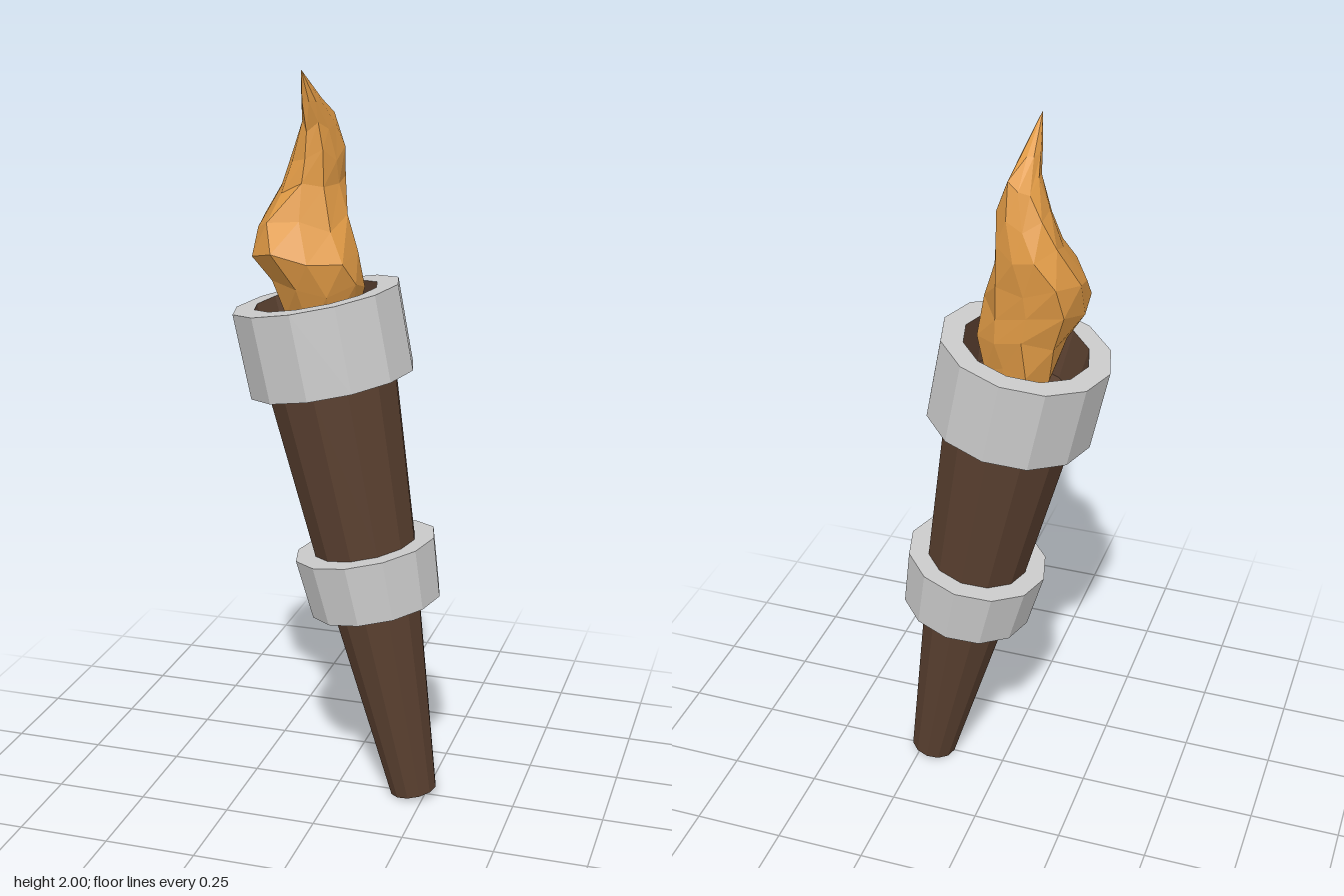
import * as THREE from 'three';

const SIDES = 12;

function material(color) {
  return new THREE.MeshStandardMaterial({ color, flatShading: true });
}

// Faceted turned part from [radius, height] points, listed from the bottom up
function turned(name, profile, mat) {
  const points = profile.map(([r, y]) => new THREE.Vector2(r, y));
  const mesh = new THREE.Mesh(new THREE.LatheGeometry(points, SIDES), mat);
  mesh.name = name;
  return mesh;
}

// Flame: stacked, twisted cross-sections [y, xMin, xMax, zMin, zMax]
function flameGeometry() {
  const sections = [
    [1.27, -0.11, 0.03, -0.07, 0.07],
    [1.36, -0.15, 0.04, -0.09, 0.1],
    [1.45, -0.175, 0.058, -0.105, 0.14],
    [1.53, -0.222, 0.045, -0.11, 0.175],
    [1.61, -0.22, 0.02, -0.115, 0.125],
    [1.7, -0.165, 0.0, -0.12, 0.085],
    [1.78, -0.13, 0.0, -0.1, 0.07],
    [1.86, -0.098, -0.018, -0.075, 0.062],
    [1.92, -0.088, -0.04, -0.005, 0.082],
    [2.0, -0.07, -0.07, 0.1, 0.1],
  ];
  const n = 9;
  const pos = [];
  const index = [];
  sections.forEach(([y, x0, x1, z0, z1], i) => {
    for (let j = 0; j < n; j++) {
      const a = (j / n) * Math.PI * 2 + i * 0.16;
      // uneven ridges and a slight wobble in height
      const r = 1 + 0.08 * Math.sin(j * 2.4 + i * 0.7);
      const lift = i > 0 && i < 8 ? 0.018 * Math.sin(j * 1.9 + i * 1.3) : 0;
      pos.push(
        (x0 + x1) / 2 + ((x1 - x0) / 2) * r * Math.cos(a),
        y + lift,
        (z0 + z1) / 2 + ((z1 - z0) / 2) * r * Math.sin(a)
      );
    }
  });
  for (let i = 0; i < sections.length - 1; i++) {
    for (let j = 0; j < n; j++) {
      const a = i * n + j;
      const b = i * n + ((j + 1) % n);
      index.push(a, a + n, b, b, a + n, b + n);
    }
  }
  // closed base
  for (let j = 1; j < n - 1; j++) index.push(0, j, j + 1);
  const geo = new THREE.BufferGeometry();
  geo.setAttribute('position', new THREE.Float32BufferAttribute(pos, 3));
  geo.setIndex(index);
  geo.computeVertexNormals();
  return geo;
}

export function createModel() {
  const model = new THREE.Group();
  model.name = 'torch';
  const wood = material(0x5a4030);
  const metal = material(0xcccccc);

  // Leaning shaft with its two bands
  const shaft = new THREE.Group();
  shaft.name = 'shaft';
  shaft.position.set(0.216, 0.014, 0);
  shaft.rotation.z = 0.199;
  model.add(shaft);

  // Tapered handle, hollowed into a cup at the top
  shaft.add(turned('handle', [
    [0, 0], [0.065, 0], [0.122, 0.564], [0.14, 0.731], [0.175, 1.193],
    [0.168, 1.423], [0.155, 1.28], [0, 1.28],
  ], wood));

  shaft.add(turned('lowerBand', [
    [0.11, 0.564], [0.18, 0.564], [0.195, 0.731], [0.13, 0.731],
  ], metal));

  shaft.add(turned('upperBand', [
    [0.165, 1.193], [0.223, 1.193], [0.226, 1.423], [0.167, 1.423],
  ], metal));

  const flame = new THREE.Mesh(flameGeometry(), material(0xe09a45));
  flame.name = 'flame';
  model.add(flame);

  return model;
}
